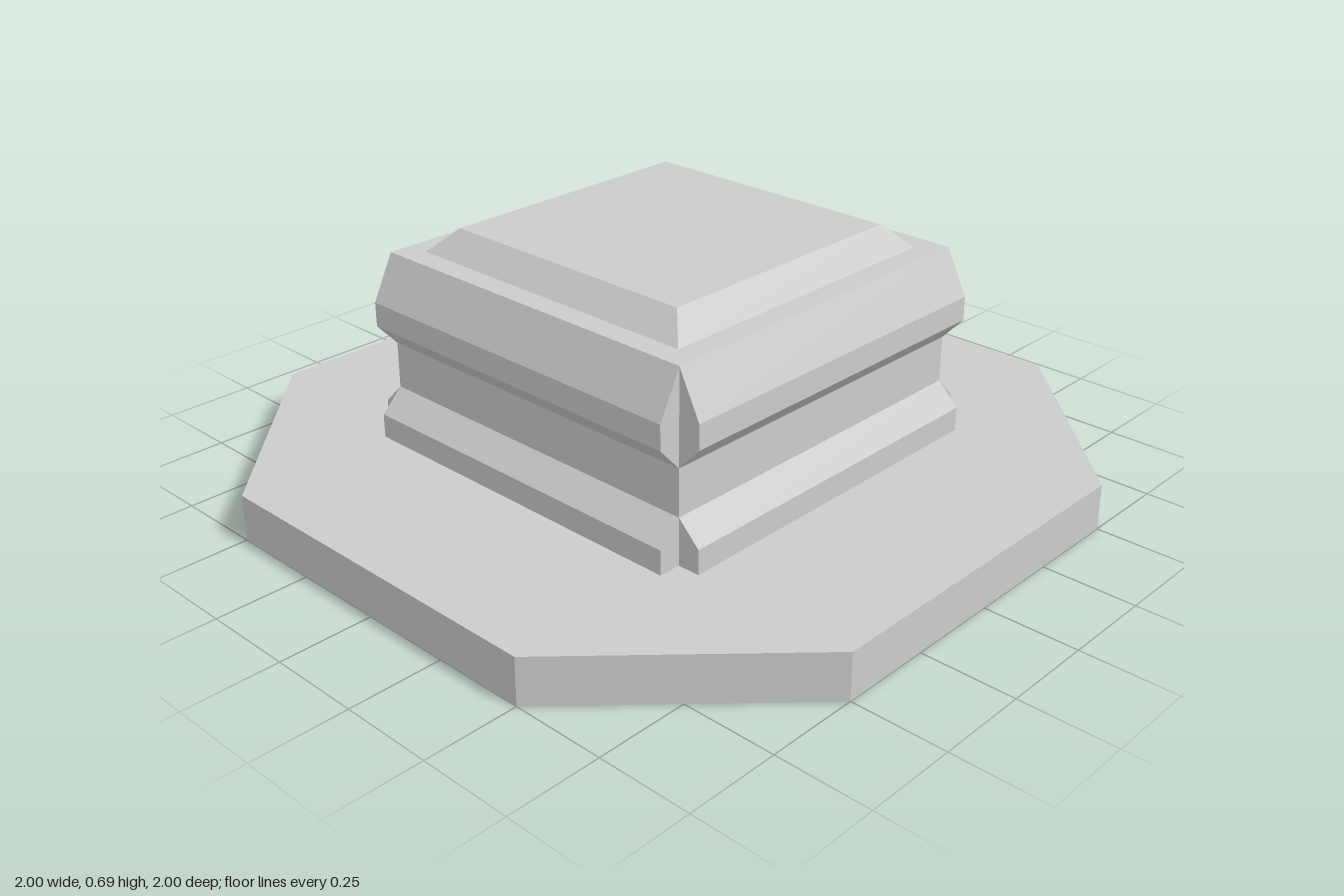
import * as THREE from 'three';

const material = new THREE.MeshStandardMaterial({ color: 0xcccccc, flatShading: true });

function addMesh(parent, name, geometry) {
  const mesh = new THREE.Mesh(geometry, material);
  mesh.name = name;
  parent.add(mesh);
  return mesh;
}

// Extrudes a closed outline without bevels
function extrude(points, depth) {
  const shape = new THREE.Shape(points.map(([x, y]) => new THREE.Vector2(x, y)));
  return new THREE.ExtrudeGeometry(shape, { depth, bevelEnabled: false });
}

// Repeats a straight moulding (outward, height profile) on all four sides
function addMoulding(parent, name, profile) {
  const group = new THREE.Group();
  group.name = name;
  const geometry = extrude(profile, 1).translate(0, 0, -0.5);
  ['Left', 'Back', 'Right', 'Front'].forEach((side, i) => {
    addMesh(group, name + side, geometry).rotation.y = i * Math.PI / 2;
  });
  parent.add(group);
}

export function createModel() {
  const model = new THREE.Group();
  model.name = 'pedestal';

  // Octagonal base slab
  const octagon = [[0.5, -1], [1, -0.5], [1, 0.5], [0.5, 1], [-0.5, 1], [-1, 0.5], [-1, -0.5], [-0.5, -1]];
  addMesh(model, 'baseSlab', extrude(octagon, 0.125).rotateX(-Math.PI / 2));

  // Square block
  addMesh(model, 'block', new THREE.BoxGeometry(1, 0.5, 1).translate(0, 0.375, 0));

  // Mouldings, left open at the corners
  addMoulding(model, 'lowerMoulding', [[0.5, 0.125], [0.56, 0.125], [0.56, 0.19], [0.5, 0.25]]);
  addMoulding(model, 'upperMoulding', [[0.5, 0.375], [0.56, 0.44], [0.56, 0.505], [0.5, 0.625]]);

  // Raised bevelled cap
  const cap = new THREE.CylinderGeometry(0.375 * Math.SQRT2, 0.4375 * Math.SQRT2, 0.0625, 4);
  addMesh(model, 'cap', cap.rotateY(Math.PI / 4).translate(0, 0.65625, 0));

  return model;
}
